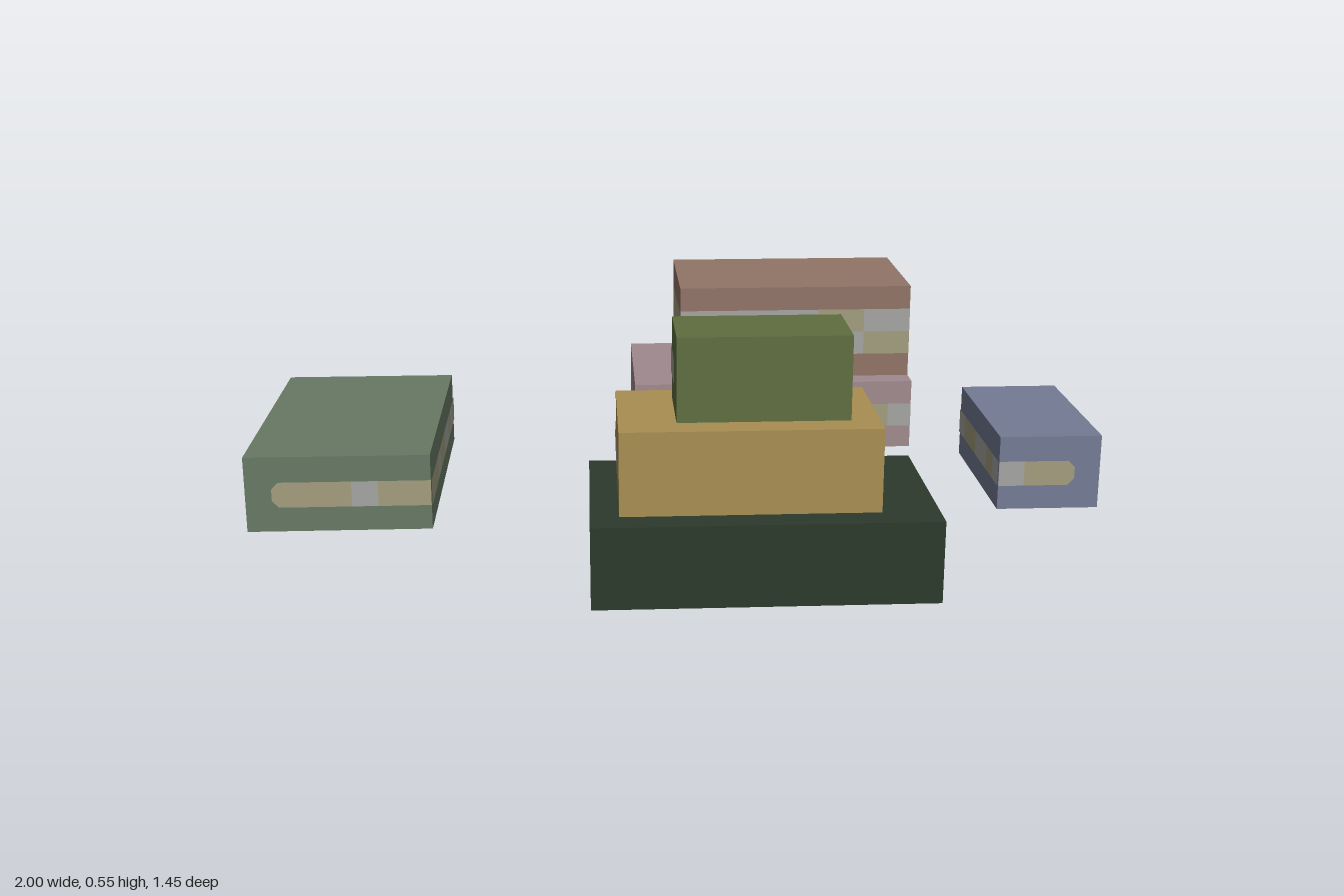
import * as THREE from 'three';

const U = 2 / 33;      // grid cell
const LIFT = 0.002;    // painted faces sit just proud of the walls

const material = (name, color) => {
  const m = new THREE.MeshStandardMaterial({ color });
  m.name = name;
  return m;
};

// Flat strip; round gives the cut-corner side: -1 left, 1 right, 0 none
function stripGeometry(x0, x1, y0, y1, round) {
  const c = 0.016, l = round < 0 ? c : 0, r = round > 0 ? c : 0;
  return new THREE.ShapeGeometry(new THREE.Shape([
    [x0 + l, y0], [x1 - r, y0], [x1, y0 + r], [x1, y1 - r],
    [x1 - r, y1], [x0 + l, y1], [x0, y1 - l], [x0, y0 + l],
  ].map(p => new THREE.Vector2(...p))));
}

export function createModel() {
  const mats = {
    sage: material('sage green', 0x677964),
    blue: material('slate blue', 0x747b95),
    forest: material('forest green', 0x2c3a2c),
    ochre: material('ochre', 0xa88e51),
    olive: material('olive green', 0x5f6e40),
    mauve: material('dusty mauve', 0xa08a8e),
    brown: material('clay brown', 0x917467),
    G: material('window grey', 0xa5a5a3),
    B: material('window beige', 0xa29d7e),
  };
  const model = new THREE.Group();
  model.name = 'courtyardBuildings';

  // One window row on a wall, one letter per cell; equal letters merge into a run.
  // Rows on side walls (side = 1 or -1) start at the courtyard edge and stop short of the outer edge.
  function windowRow(wall, pattern, length, y, side) {
    for (const run of pattern.matchAll(/G+|B+/g)) {
      const a = run.index, b = a + run[0].length;
      let x0 = (a - length / 2) * U, x1 = (b - length / 2) * U;
      if (side < 0) [x0, x1] = [-x1, -x0];
      const round = b === pattern.length ? side : 0;
      const strip = new THREE.Mesh(stripGeometry(x0, x1, y * U, (y + 1) * U, round), mats[run[0][0]]);
      strip.name = 'windowStrip';
      wall.add(strip);
    }
  }

  // A storey block given in grid cells; turn points its windowed inner wall to the courtyard
  function addBlock({ name, color, x, y, z, turn, inner, right, left, base }) {
    const block = new THREE.Group();
    block.name = name;
    const [x0, x1] = x, [y0, y1] = y, [z0, z1] = z;
    const swap = Math.abs(Math.sin(turn)) > 0.5;
    const w = swap ? z1 - z0 : x1 - x0;
    const d = swap ? x1 - x0 : z1 - z0;
    const bottom = y0 === 0 ? LIFT : y0 * U;

    const body = new THREE.Mesh(new THREE.BoxGeometry(w * U, y1 * U - bottom, d * U), mats[color]);
    body.position.y = (bottom + y1 * U) / 2;
    body.name = name + 'Walls';
    block.add(body);

    // Inner, right and left walls
    for (const [rows, angle, length, depth, side, wallName] of [
      [inner, 0, w, d, 0, 'innerWindows'],
      [right, Math.PI / 2, d, w, 1, 'rightWindows'],
      [left, -Math.PI / 2, d, w, -1, 'leftWindows'],
    ]) {
      const wall = new THREE.Group();
      wall.name = wallName;
      wall.rotation.y = angle;
      const out = depth * U / 2 + LIFT;
      wall.position.set(Math.sin(angle) * out, 0, Math.cos(angle) * out);
      rows.forEach((pattern, i) => windowRow(wall, pattern, length, y0 + 1 + i, side));
      block.add(wall);
    }

    // Inset panel on the underside
    if (base) {
      const panel = new THREE.Mesh(new THREE.PlaneGeometry((w - 2) * U, (d - 2) * U), mats[base]);
      panel.rotation.x = Math.PI / 2;
      panel.name = 'basePanel';
      block.add(panel);
    }

    block.rotation.y = turn;
    block.position.set(((x0 + x1) / 2 - 16.5) * U, 0, ((z0 + z1) / 2 - 12) * U);
    model.add(block);
  }

  const H = Math.PI / 2;
  [
    { name: 'westHall', color: 'sage', x: [0, 7], y: [0, 3], z: [5, 16], turn: H, base: 'ochre',
      inner: ['BBBGBBGGBGB'], right: ['BGGBBG'], left: ['BBGBBB'] },
    { name: 'eastHut', color: 'blue', x: [29, 33], y: [0, 3], z: [8, 15], turn: -H,
      inner: ['GBBGGBG'], right: ['GBB'], left: ['GBG'] },
    { name: 'towerBase', color: 'forest', x: [13, 25], y: [0, 3], z: [17, 24], turn: 2 * H, base: 'G',
      inner: ['BGGBGGBBGGBG'], right: ['GBGGBG'], left: ['BGGGGG'] },
    { name: 'towerMiddle', color: 'ochre', x: [14, 23], y: [3, 6], z: [18, 23], turn: 2 * H,
      inner: ['GGBGGGGBG'], right: ['GGBG'], left: ['BGGG'] },
    { name: 'towerTop', color: 'olive', x: [16, 22], y: [6, 9], z: [19, 22], turn: 2 * H,
      inner: ['BGGBGG'], right: ['GB'], left: ['BG'] },
    { name: 'northHall', color: 'mauve', x: [15, 27], y: [0, 3], z: [0, 7], turn: 0, base: 'ochre',
      inner: ['BBGGBBGBGGBG'], right: ['BGGGBB'], left: ['BBGBBB'] },
    { name: 'northUpper', color: 'brown', x: [17, 27], y: [3, 7], z: [0, 6], turn: 0,
      inner: ['BGGGGGGGBB', 'GGGGGGBBGG'], right: ['BGGGG', 'GGBBB'], left: ['BBGGB', 'GBBBB'] },
  ].forEach(addBlock);

  return model;
}
